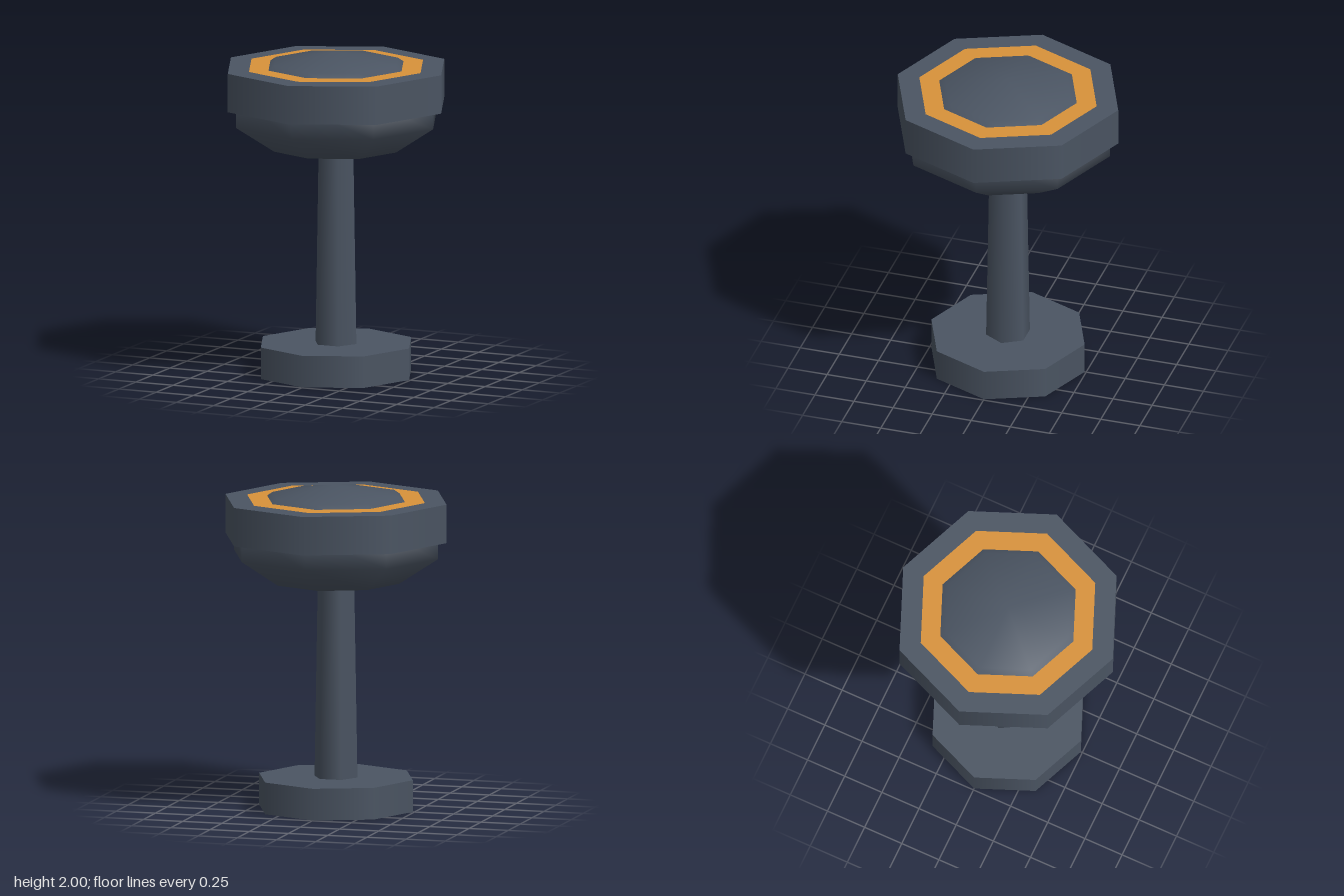
import * as THREE from 'three';

export function createModel() {
  const model = new THREE.Group();
  const slate = new THREE.MeshStandardMaterial({ color: 0x4b5563 });
  slate.name = 'slate';
  const amber = new THREE.MeshStandardMaterial({ color: 0xd8923a });
  amber.name = 'amber';

  function add(name, geometry, material, y) {
    const mesh = new THREE.Mesh(geometry, material);
    mesh.name = name;
    mesh.position.y = y;
    model.add(mesh);
    return mesh;
  }

  // Upright prism spanning y0 to y1
  function prism(name, rTop, rBottom, y0, y1, sides) {
    const geometry = new THREE.CylinderGeometry(rTop, rBottom, y1 - y0, sides);
    return add(name, geometry, slate, (y0 + y1) / 2);
  }

  // Octagonal foot and tapered six-sided stem, its corners on the x axis
  prism('base', 0.49, 0.49, 0, 0.196, 8);
  prism('stem', 0.116, 0.137, 0.19, 1.42, 6).rotation.y = Math.PI / 2;

  // Flattened coarse ball: bowl below the rim, shallow dome above it
  const ball = new THREE.SphereGeometry(0.685, 8, 5);
  ball.scale(1, 0.328 / 0.685, 1);
  add('bowlAndDome', ball, slate, 1.672);

  // Wide octagonal rim
  prism('rim', 0.705, 0.705, 1.672, 1.91, 8);

  // Thin inlaid band around the dome
  const band = new THREE.RingGeometry(0.43, 0.567, 8);
  band.rotateX(-Math.PI / 2);
  add('band', band, amber, 1.913);

  return model;
}
